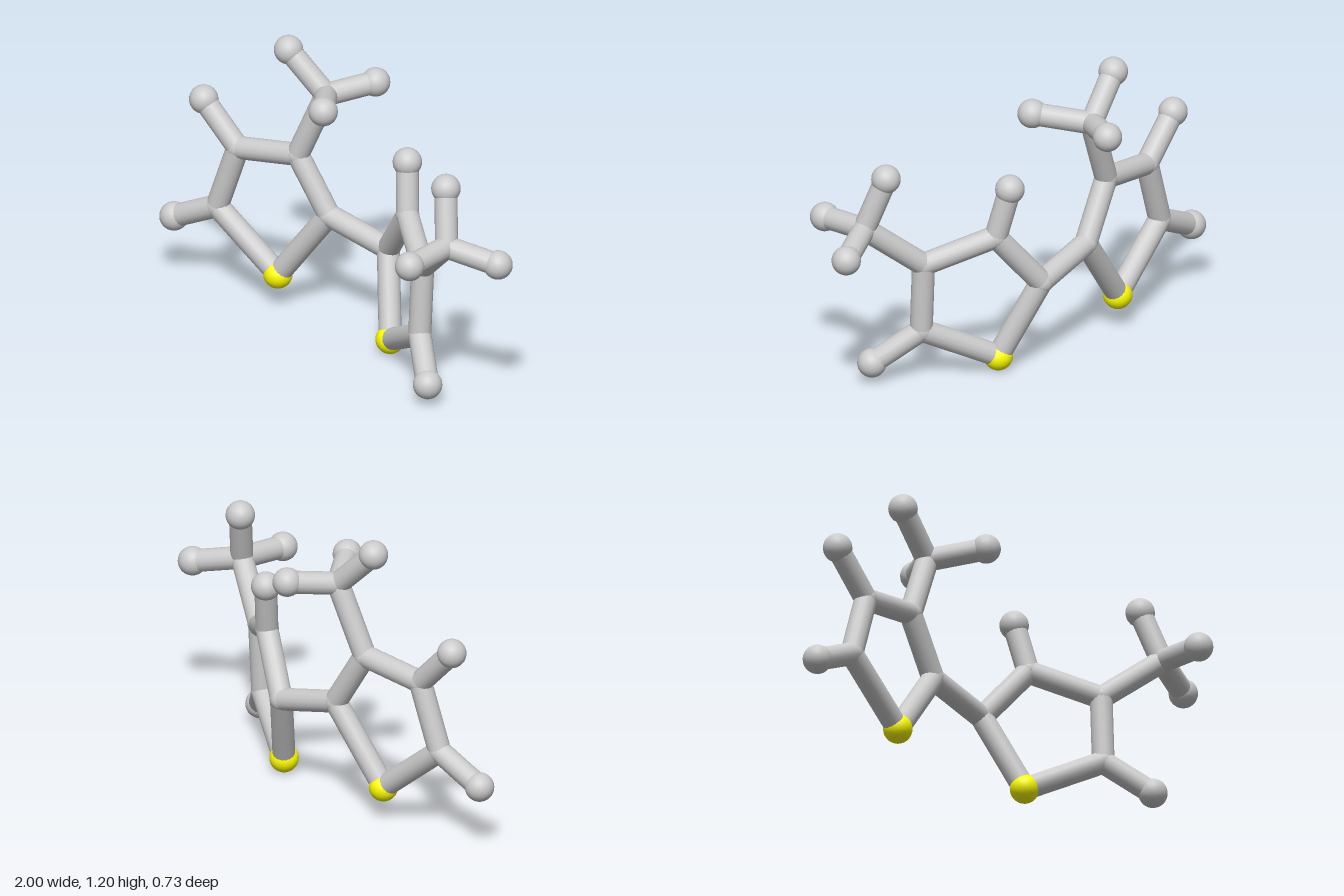
import * as THREE from 'three';

const BALL = 0.06, BOND = 0.047;

// Joint positions. C: carbon, S: sulfur, H: hydrogen, M: methyl carbon
const RINGS = {
  right: {
    S: [-0.455, 0.14, -0.015], C2: [-0.23, 0.455, -0.1], C3: [-0.37, 0.69, -0.05],
    C4: [-0.645, 0.65, 0.04], C5: [-0.735, 0.37, 0.075],
    H4: [-0.81, 0.82, 0.085], H5: [-0.94, 0.27, 0.135],
    M: [-0.255, 0.98, -0.105],
    Ha: [-0.415, 1.143, -0.038], Hb: [-0.075, 1.013, 0.056], Hc: [-0.185, 1.005, -0.305],
  },
  left: {
    S: [0.195, 0.06, -0.075], C2: [0.055, 0.385, -0.178], C3: [0.245, 0.615, -0.125],
    C4: [0.51, 0.515, 0.01], C5: [0.51, 0.22, 0.025],
    H3: [0.2, 0.825, -0.16], H5: [0.685, 0.087, 0.125],
    M: [0.755, 0.71, 0.083],
    Ha: [0.685, 0.93, 0.03], Hb: [0.937, 0.66, -0.038], Hc: [0.79, 0.698, 0.303],
  },
};

const RING_BONDS = ['S C2', 'C2 C3', 'C3 C4', 'C4 C5', 'C5 S', 'C5 H5', 'M Ha', 'M Hb', 'M Hc'];
const SIDE_BONDS = { right: ['C4 H4', 'C3 M'], left: ['C3 H3', 'C4 M'] };

export function createModel() {
  const model = new THREE.Group();
  model.name = 'molecule';
  const grey = new THREE.MeshStandardMaterial({ color: 0xcccccc });
  const yellow = new THREE.MeshStandardMaterial({ color: 0xffff00 });
  const ballGeo = new THREE.SphereGeometry(BALL, 24, 16);
  const jointGeo = new THREE.SphereGeometry(BOND * 1.03, 24, 16);

  // Round rod running between two joint centres
  function bond(parent, a, b, name) {
    const p = new THREE.Vector3(...a), q = new THREE.Vector3(...b);
    const dir = q.clone().sub(p);
    const rod = new THREE.Mesh(new THREE.CylinderGeometry(BOND, BOND, dir.length(), 16), grey);
    rod.position.copy(p).add(q).multiplyScalar(0.5);
    rod.quaternion.setFromUnitVectors(new THREE.Vector3(0, 1, 0), dir.normalize());
    rod.name = name;
    parent.add(rod);
  }

  for (const [side, atoms] of Object.entries(RINGS)) {
    const half = new THREE.Group();
    half.name = side + 'Ring';
    // Balls: yellow sulfur, large hydrogen ends, small carbon joints
    for (const [key, pos] of Object.entries(atoms)) {
      const isS = key === 'S', isH = key[0] === 'H';
      const ball = new THREE.Mesh(isS || isH ? ballGeo : jointGeo, isS ? yellow : grey);
      ball.name = isS ? 'sulfurBall' : isH ? 'hydrogenBall' : 'carbonJoint';
      ball.position.set(...pos);
      half.add(ball);
    }
    for (const pair of [...RING_BONDS, ...SIDE_BONDS[side]]) {
      const [a, b] = pair.split(' ');
      bond(half, atoms[a], atoms[b], 'bond');
    }
    model.add(half);
  }

  // Rod joining the two rings
  bond(model, RINGS.right.C2, RINGS.left.C2, 'linkBond');
  return model;
}
